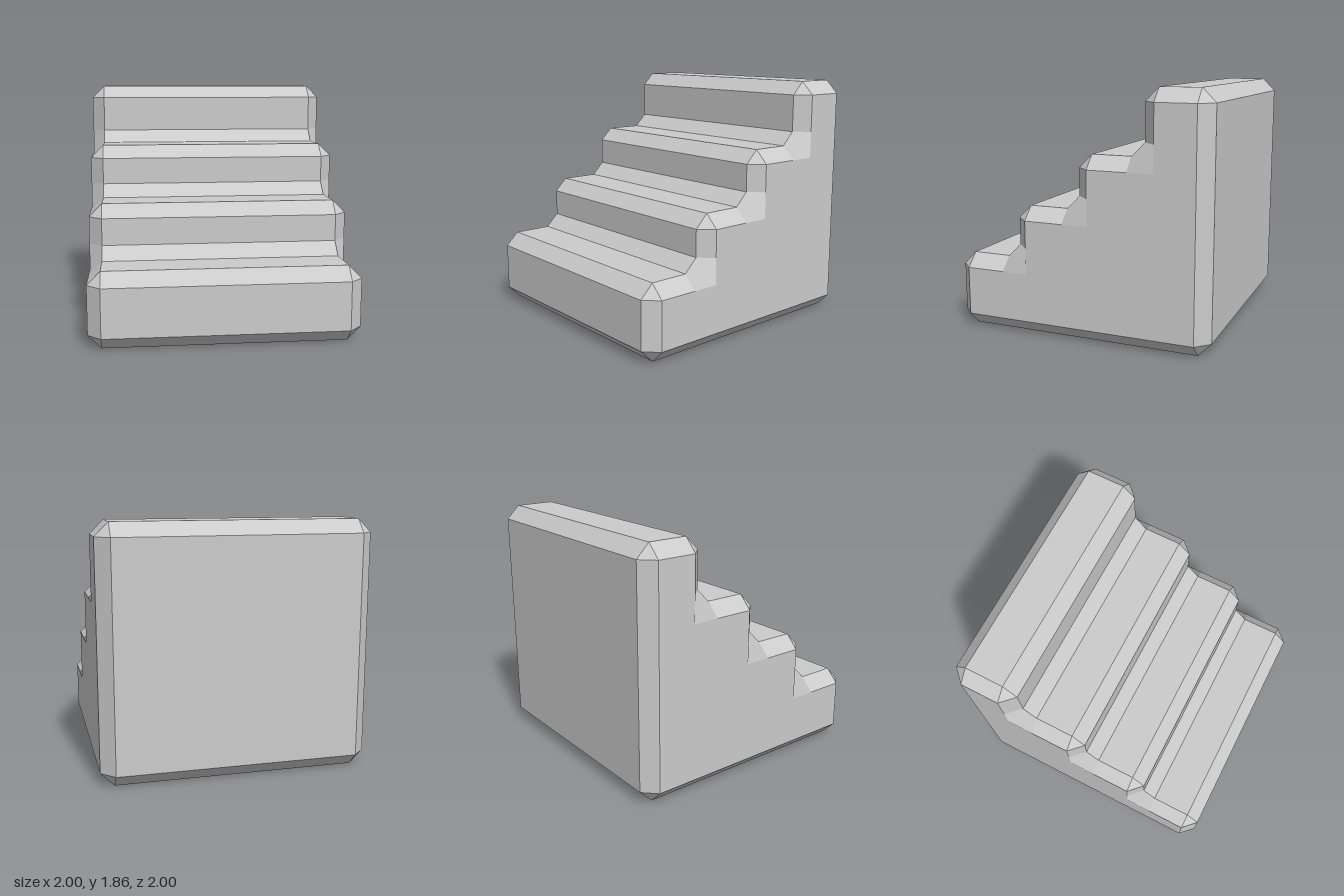
import * as THREE from 'three';

const B = 0.1; // bevel size

// Sharp side profile seen from +x: [u = -z, y], counter-clockwise
const profile = [
  [-1, 0], [1, 0], [1, 1.857], [0.5, 1.857], [0.5, 1.377],
  [0, 1.377], [0, 0.971], [-0.5, 0.971], [-0.5, 0.566], [-1, 0.566],
].map(([u, y]) => new THREE.Vector2(u, y));

// Points around one profile corner: a, b on the bevelled outline, e, c below them on the side face, d the inset corner
function bevelCorner(i) {
  const n = profile.length;
  const p = profile[i];
  const dirIn = p.clone().sub(profile[(i + n - 1) % n]).normalize();
  const dirOut = profile[(i + 1) % n].clone().sub(p).normalize();
  const inward = (d) => new THREE.Vector2(-d.y, d.x).multiplyScalar(B);
  const a = p.clone().addScaledVector(dirIn, -B);
  const b = p.clone().addScaledVector(dirOut, B);
  return {
    a, b,
    e: a.clone().add(inward(dirIn)),
    c: b.clone().add(inward(dirOut)),
    d: p.clone().add(inward(dirIn)).add(inward(dirOut)),
    convex: dirIn.cross(dirOut) > 0,
  };
}

function buildStairs() {
  const positions = [];
  const normals = [];

  // Fan from the first point, with one shared normal for the whole face
  const face = (pts) => {
    const normal = new THREE.Vector3();
    const tris = [];
    for (let k = 1; k < pts.length - 1; k++) {
      const [p, q, r] = [pts[0], pts[k], pts[k + 1]];
      normal.add(q.clone().sub(p).cross(r.clone().sub(p)));
      tris.push(p, q, r);
    }
    normal.normalize();
    for (const v of tris) {
      positions.push(v.x, v.y, v.z);
      normals.push(normal.x, normal.y, normal.z);
    }
  };
  const at = (p, x) => new THREE.Vector3(x, p.y, -p.x);
  const mirrored = (pts) => {
    face(pts);
    const [first, ...rest] = pts.map((v) => new THREE.Vector3(-v.x, v.y, v.z));
    face([first, ...rest.reverse()]);
  };

  const X = 1, XI = 1 - B;
  const corners = profile.map((_, i) => bevelCorner(i));
  corners.forEach((k, i) => {
    const next = corners[(i + 1) % corners.length];
    // Chamfer at the corner and flat run to the next one, across the width
    face([at(k.b, XI), at(k.a, XI), at(k.a, -XI), at(k.b, -XI)]);
    face([at(next.a, XI), at(k.b, XI), at(k.b, -XI), at(next.a, -XI)]);
    // Side bevel along the run
    mirrored([at(k.b, XI), at(next.a, XI), at(next.e, X), at(k.c, X)]);
    // Side bevel at the corner: a triangle outside, a folded patch inside
    mirrored(k.convex
      ? [at(k.d, X), at(k.a, XI), at(k.b, XI)]
      : [at(k.d, X), at(k.e, X), at(k.a, XI), at(k.b, XI), at(k.c, X)]);
  });

  // Flat side faces
  const inset = corners.map((k) => k.d);
  for (const tri of THREE.ShapeUtils.triangulateShape(inset, [])) {
    mirrored(tri.map((i) => at(inset[i], X)));
  }

  const geometry = new THREE.BufferGeometry();
  geometry.setAttribute('position', new THREE.Float32BufferAttribute(positions, 3));
  geometry.setAttribute('normal', new THREE.Float32BufferAttribute(normals, 3));
  return geometry;
}

export function createModel() {
  const group = new THREE.Group();
  group.name = 'staircase';
  const stairs = new THREE.Mesh(buildStairs(), new THREE.MeshStandardMaterial({ color: 0xcccccc }));
  stairs.name = 'bevelledStairBlock';
  group.add(stairs);
  return group;
}
